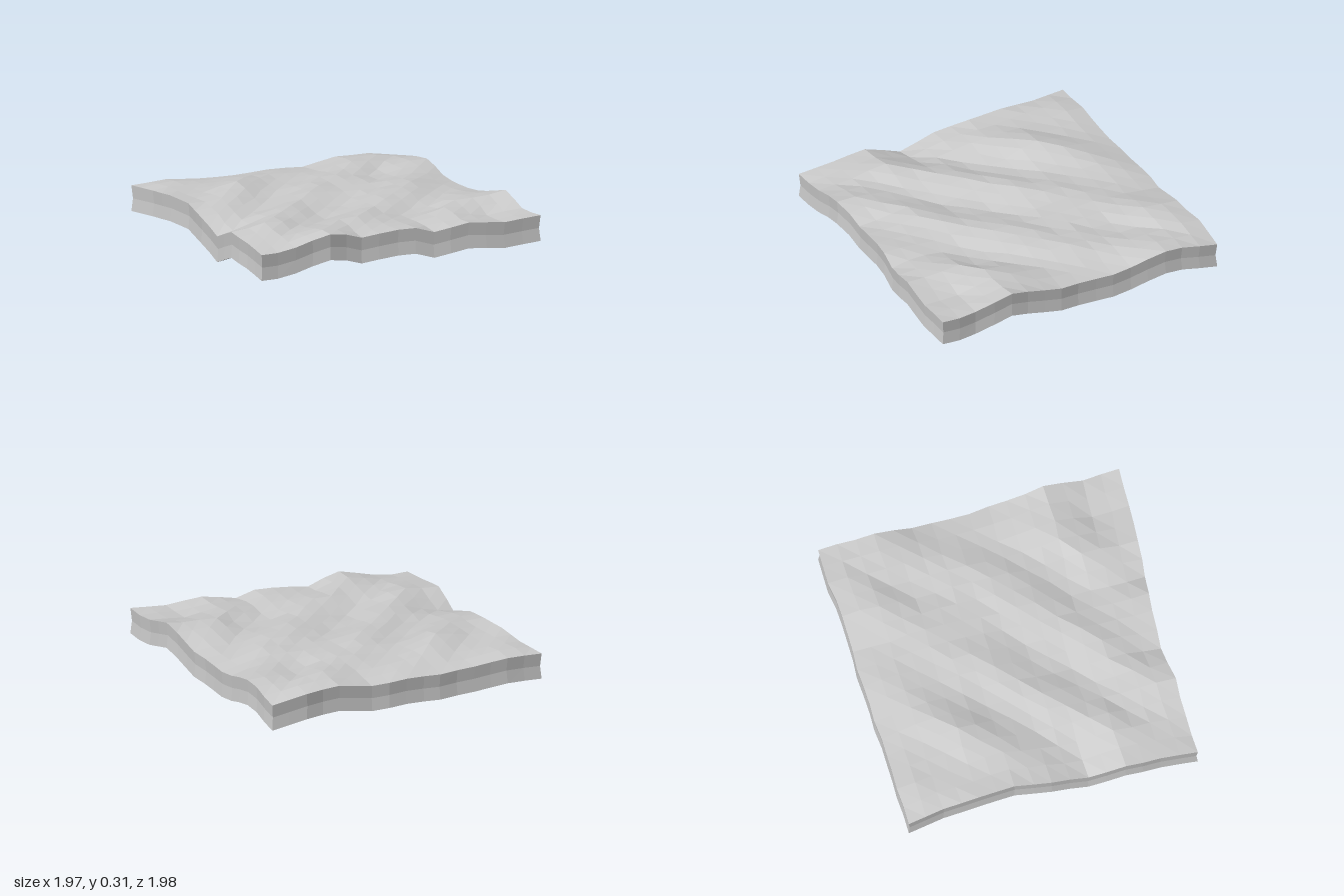
import * as THREE from 'three';

const SEGMENTS = 16, THICKNESS = 0.168;

// Rim heights and outline offsets, sampled evenly from -1 to 1
const height = {
  front: [0.21, 0.21, 0.23, 0.262, 0.29, 0.27, 0.235, 0.25, 0.262, 0.263, 0.225, 0.245, 0.265, 0.255, 0.243, 0.253, 0.262],
  back: [0.24, 0.25, 0.23, 0.22, 0.23, 0.22, 0.26, 0.25, 0.21],
  left: [0.21, 0.235, 0.258, 0.27, 0.25, 0.222, 0.21, 0.214, 0.22, 0.23, 0.255, 0.285, 0.315, 0.287, 0.255, 0.252, 0.262],
  right: [0.24, 0.255, 0.275, 0.275, 0.24, 0.17, 0.255, 0.235, 0.21],
};
const outline = {
  front: [0.95, 0.94, 0.94, 0.92, 0.93, 0.95, 0.97, 0.99, 0.99],
  back: [-0.945, -0.955, -0.95, -0.96, -0.968, -0.965, -0.965, -0.985, -0.99],
  left: [0.985, 0.965, 0.965, 0.96, 0.955, 0.957, 0.97, 0.957, 0.965],
  right: [-0.96, -0.93, -0.92, -0.91, -0.935, -0.95, -0.965, -0.97, -0.99],
};

const lerp = THREE.MathUtils.lerp;

function sample(profile, t) {
  const p = (t + 1) / 2 * (profile.length - 1);
  const i = Math.min(Math.floor(p), profile.length - 2);
  return lerp(profile[i], profile[i + 1], p - i);
}

// Repeatable jitter in -1..1 for each grid point
function jitter(u, v, seed) {
  const s = Math.sin(Math.round(u * 8) * 12.99 + Math.round(v * 8) * 78.23 + seed * 37.7) * 43758.55;
  return 2 * (s - Math.floor(s)) - 1;
}

const bump = (u, v, cu, cv, r) => Math.exp(-((u - cu) ** 2 + (v - cv) ** 2) / (r * r));

// Height of the top: diagonal ripples inside, blending into the rim profiles
function topHeight(u, v) {
  const a = (u + 1) / 2, b = (v + 1) / 2, h = height;
  const corners = lerp(lerp(sample(h.back, -1), sample(h.back, 1), a),
    lerp(sample(h.front, -1), sample(h.front, 1), a), b);
  const rim = lerp(sample(h.right, v), sample(h.left, v), a)
    + lerp(sample(h.back, u), sample(h.front, u), b) - corners;
  // The ripples fade out on a calmer patch and rise on one shoulder
  const strength = 0.026 * (1 - 0.8 * bump(u, v, 0.3, -0.3, 0.4));
  const ripple = 0.258 + strength * Math.cos((u + v + 1) * 2 * Math.PI / 0.73)
    + 0.025 * bump(u, v, -0.55, -0.45, 0.3)
    + 0.008 * Math.sin(3 * u - 4 * v) + 0.005 * jitter(u, v, 1);
  const inside = Math.min(1, (1 - Math.max(Math.abs(u), Math.abs(v))) / 0.45);
  return lerp(rim, ripple, inside);
}

export function createModel() {
  const group = new THREE.Group();
  group.name = 'groundTile';

  // Rippled slab: a gridded box whose layers all follow the top surface
  const geometry = new THREE.BoxGeometry(2, 2, 2, SEGMENTS, 2, SEGMENTS);
  const pos = geometry.attributes.position;
  for (let i = 0; i < pos.count; i++) {
    const u = pos.getX(i), layer = pos.getY(i), v = pos.getZ(i);
    const x = lerp(sample(outline.right, v), sample(outline.left, v), (u + 1) / 2);
    const z = lerp(sample(outline.back, u), sample(outline.front, u), (v + 1) / 2);
    // The walls are slightly waisted at mid height
    const waist = 1 - 0.008 * (1 - Math.abs(layer));
    pos.setXYZ(i,
      x * waist + 0.006 * jitter(u, v, 2),
      topHeight(u, v) - THICKNESS * (1 - layer) / 2,
      z * waist + 0.006 * jitter(u, v, 3));
  }
  geometry.computeVertexNormals();

  const slab = new THREE.Mesh(geometry,
    new THREE.MeshStandardMaterial({ color: 0xcccccc, flatShading: true }));
  slab.name = 'slab';
  group.add(slab);
  return group;
}
